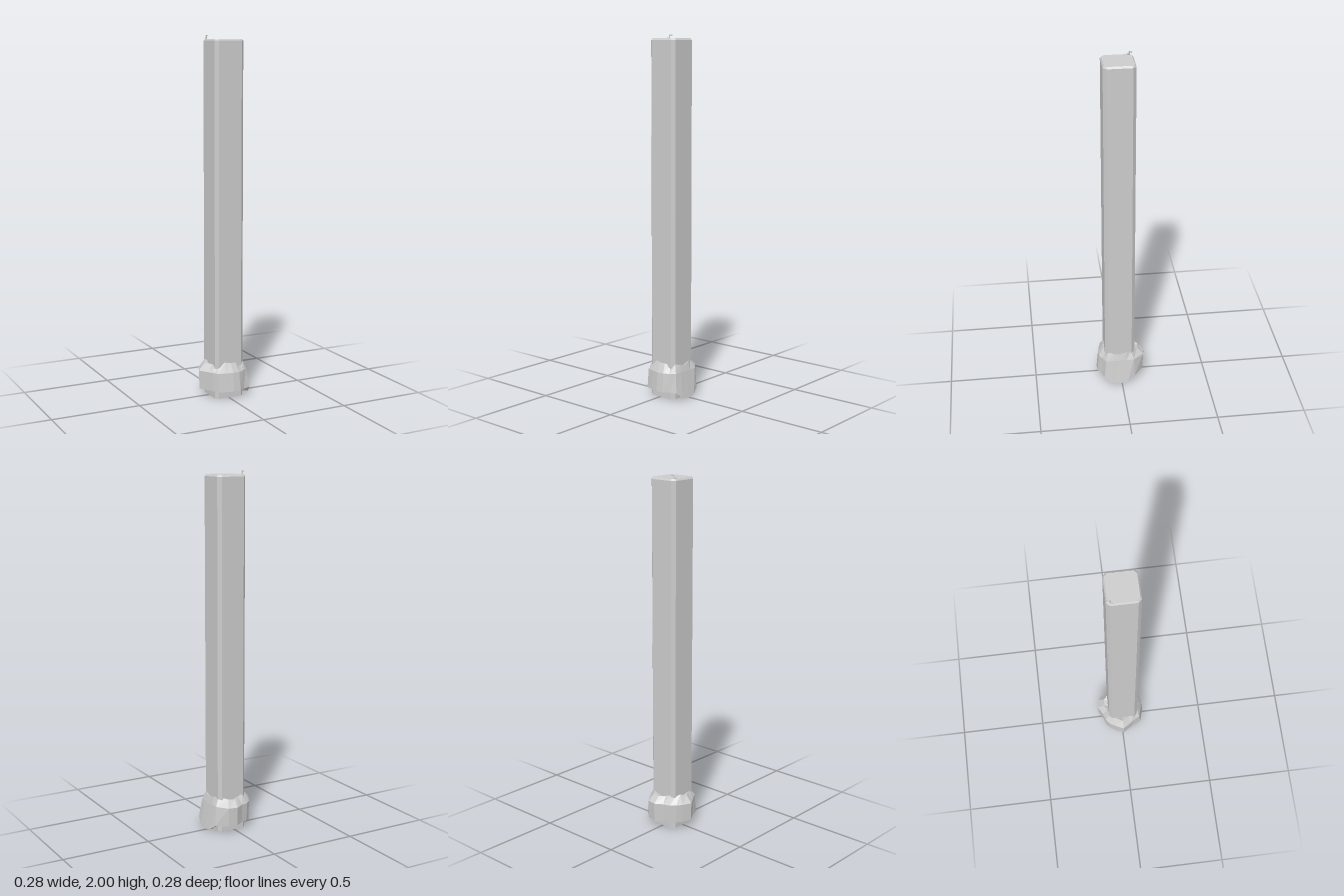
import * as THREE from 'three';

// Joins a stack of equal-length rings (bottom to top, clockwise seen from above)
function loft(rings) {
  const pos = [];
  for (let r = 0; r < rings.length - 1; r++) {
    const a = rings[r], b = rings[r + 1], n = a.length;
    for (let i = 0; i < n; i++) {
      const j = (i + 1) % n;
      pos.push(...a[j], ...a[i], ...b[i], ...a[j], ...b[i], ...b[j]);
    }
  }
  const g = new THREE.BufferGeometry();
  g.setAttribute('position', new THREE.Float32BufferAttribute(pos, 3));
  g.computeVertexNormals(); // unshared corners give flat faces
  return g;
}

// Square ring with cut corners around the post axis
const CX = 0.008, CZ = 0.008;
function postRing(half, cut, y) {
  const s = half - cut;
  return [[-half, s], [-half, -s], [-s, -half], [s, -half],
    [half, -s], [half, s], [s, half], [-s, half]]
    .map(([x, z]) => [CX + x, y, CZ + z]);
}

// Collar columns: x, z, bottom height, shoulder scale, top height
const COLUMNS = [
  [-0.142, 0.003, 0.045, 1, 0.19], [-0.12, -0.045, 0.045, 1, 0.2],
  [-0.1, -0.078, 0.045, 1, 0.19], [-0.073, -0.102, 0.045, 1, 0.2],
  [-0.033, -0.114, 0.045, 1, 0.19], [0.013, -0.142, 0.045, 1, 0.185],
  [0.065, -0.132, 0.045, 1, 0.19], [0.12, -0.077, 0.04, 0.93, 0.2],
  [0.137, -0.035, 0.012, 0.82, 0.195], [0.14, 0.01, 0.002, 0.81, 0.185],
  [0.137, 0.062, 0.01, 0.83, 0.19], [0.125, 0.103, 0.045, 0.88, 0.2],
  [0.085, 0.115, 0.045, 0.95, 0.19], [0.052, 0.137, 0.045, 0.93, 0.2],
  [0.01, 0.139, 0.045, 0.93, 0.2], [-0.035, 0.128, 0.045, 0.94, 0.205],
  [-0.078, 0.115, 0.045, 0.95, 0.185], [-0.092, 0.085, 0.045, 0.97, 0.2],
  [-0.105, 0.06, 0.045, 1, 0.19],
];

export function createModel() {
  const stone = new THREE.MeshStandardMaterial({ color: 0xcccccc });
  const group = new THREE.Group();
  const add = (name, geometry) => {
    const mesh = new THREE.Mesh(geometry, stone);
    mesh.name = name;
    group.add(mesh);
    return mesh;
  };

  // Tall post with chamfered corners and a bevelled top
  add('post', loft([
    postRing(0, 0, 0), postRing(0.086, 0.018, 0), postRing(0.086, 0.018, 1.97),
    postRing(0.079, 0.015, 1.98), postRing(0, 0, 1.98),
  ]));

  // Rough collar of piled earth around the foot
  const ring = (fn) => COLUMNS.map((c) => {
    const [scale, y] = fn(c);
    return [c[0] * scale, y, c[1] * scale];
  });
  add('collar', loft([
    ring((c) => [0.5, c[2]]),
    ring((c) => [c[3] < 1 ? 1 : 0.97, c[2]]),
    ring((c) => [c[3], 0.15]),
    ring((c) => [0.74, c[4]]),
    ring((c) => [0.5, c[4] - 0.01]),
  ]));

  // Tiny bent bracket on the back corner of the top
  const bracket = [
    [-0.066, 1.983, -0.05, 0.012, 0.006, 0.007],
    [-0.062, 1.989, -0.057, 0.005, 0.018, 0.006],
    [-0.058, 1.997, -0.064, 0.014, 0.006, 0.007],
  ];
  for (const [x, y, z, w, h, d] of bracket) {
    const part = add('bracket', new THREE.BoxGeometry(w, h, d));
    part.position.set(x, y, z);
    part.rotation.y = Math.PI / 4;
  }
  return group;
}
